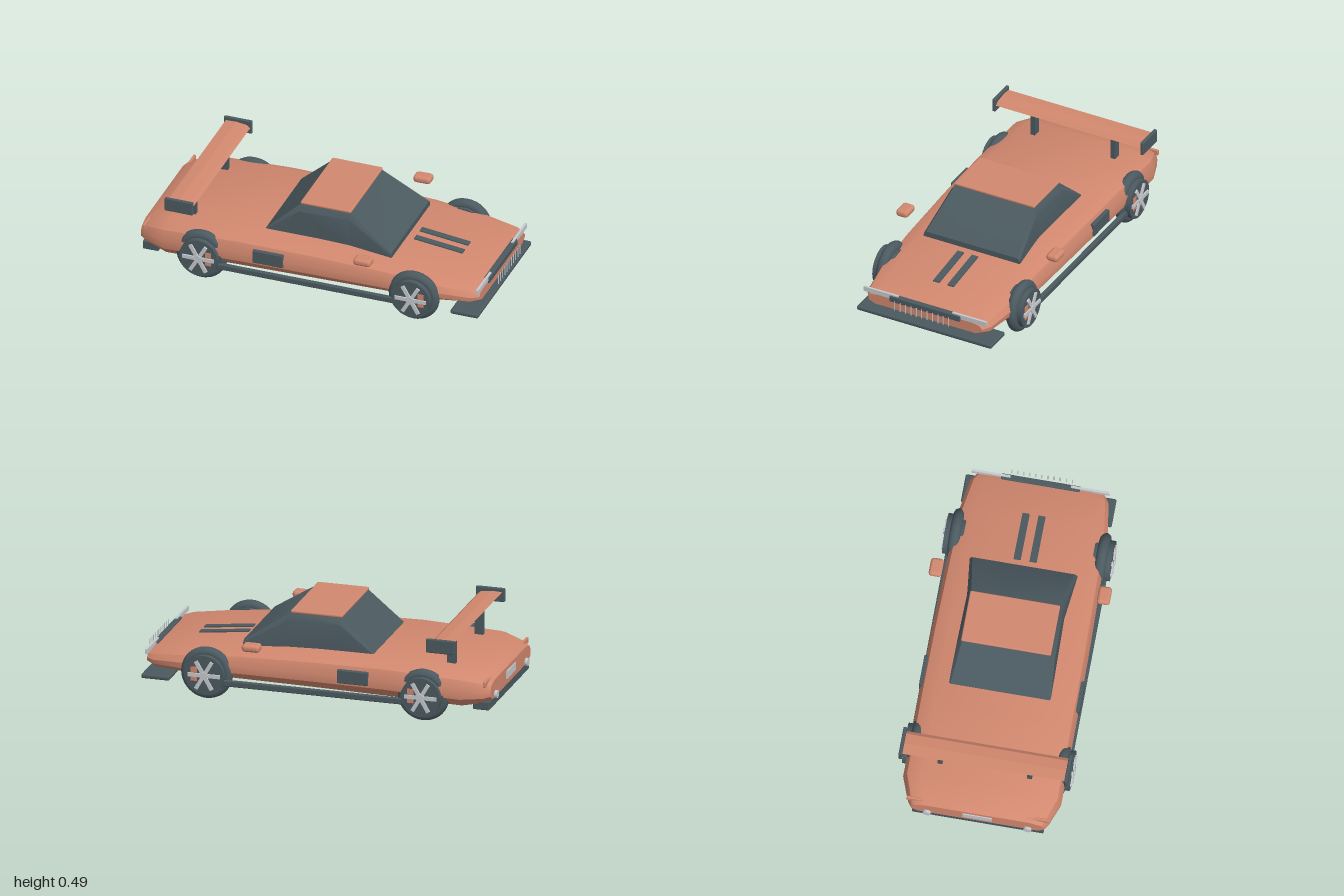
import * as THREE from 'three';
import { RoundedBoxGeometry } from 'three/addons/geometries/RoundedBoxGeometry.js';
import { toCreasedNormals } from 'three/addons/utils/BufferGeometryUtils.js';

const paint = new THREE.MeshStandardMaterial({ color: 0xd2886f });
paint.name = 'copper paint';
const dark = new THREE.MeshStandardMaterial({ color: 0x4b5a60 });
dark.name = 'dark slate';
const metal = new THREE.MeshStandardMaterial({ color: 0xc6cace });
metal.name = 'bright metal';

function add(parent, name, geometry, material, x = 0, y = 0, z = 0) {
  const mesh = new THREE.Mesh(geometry, material);
  mesh.name = name;
  mesh.position.set(x, y, z);
  parent.add(mesh);
  return mesh;
}

// Box given by its ranges along each axis
function block(parent, name, material, [x0, x1], [y0, y1], [z0, z1], round = 0) {
  const size = [x1 - x0, y1 - y0, z1 - z0];
  const g = round ? new RoundedBoxGeometry(...size, 3, round) : new THREE.BoxGeometry(...size);
  return add(parent, name, g, material, (x0 + x1) / 2, (y0 + y1) / 2, (z0 + z1) / 2);
}

// Softly creased skin over mirrored cross-sections; each half runs from top to bottom as [z, y]
function loft(sections) {
  const rings = sections.map(({ x, half }) => [
    ...half.map(([z, y]) => [x, y, z]),
    ...half.slice().reverse().map(([z, y]) => [x, y, -z]),
  ]);
  const n = rings[0].length, pos = [];
  const tri = (a, b, c) => pos.push(...a, ...b, ...c);
  for (let s = 0; s < rings.length - 1; s++) {
    const a = rings[s], b = rings[s + 1];
    for (let i = 0; i < n; i++) {
      const j = (i + 1) % n;
      tri(a[i], a[j], b[j]);
      tri(a[i], b[j], b[i]);
    }
  }
  const rear = rings[0], front = rings[rings.length - 1];
  for (let i = 1; i < n - 1; i++) {
    tri(rear[0], rear[i + 1], rear[i]);
    tri(front[0], front[i], front[i + 1]);
  }
  const g = new THREE.BufferGeometry();
  g.setAttribute('position', new THREE.Float32BufferAttribute(pos, 3));
  return toCreasedNormals(g, 0.6);
}

function makeBody() {
  // x, half width, bottom, top
  const stations = [
    [-0.985, 0.365, 0.132, 0.23], [-0.95, 0.388, 0.115, 0.252], [-0.83, 0.433, 0.1, 0.285],
    [-0.4, 0.433, 0.112, 0.303], [0, 0.43, 0.118, 0.298], [0.43, 0.42, 0.12, 0.28],
    [0.72, 0.408, 0.122, 0.247], [0.91, 0.378, 0.13, 0.22], [0.955, 0.348, 0.142, 0.207],
  ];
  return loft(stations.map(([x, w, b, t]) => {
    const h = t - b;
    return { x, half: [[w * 0.77, t], [w * 0.95, b + h * 0.82], [w, b + h * 0.52], [w * 0.99, b + h * 0.25], [w * 0.89, b]] };
  }));
}

function makeCabin() {
  const section = (x, base, shoulder, sy, top, ty) =>
    ({ x, half: [[top, ty], [shoulder, sy], [base, 0.28], [base, 0.24]] });
  return loft([
    section(-0.3, 0.28, 0.278, 0.296, 0.27, 0.303),
    section(-0.11, 0.275, 0.268, 0.442, 0.24, 0.478),
    section(0.175, 0.268, 0.262, 0.445, 0.24, 0.478),
    section(0.43, 0.295, 0.292, 0.3, 0.28, 0.312),
  ]);
}

function makeWheel(name, x, side) {
  const wheel = new THREE.Group();
  wheel.name = name;
  wheel.position.set(x, 0.146, 0.4 * side);
  if (side < 0) wheel.scale.z = -1;
  add(wheel, 'tyre', new THREE.TorusGeometry(0.115, 0.03, 16, 40), dark);
  add(wheel, 'wheelDrum', new THREE.CylinderGeometry(0.11, 0.11, 0.104, 36).rotateX(Math.PI / 2), dark, 0, 0, 0.005);
  block(wheel, 'brakeCaliper', paint, [0.04, 0.074], [-0.035, 0.045], [0.03, 0.06]);
  for (let i = 0; i < 6; i++) {
    const g = new THREE.BoxGeometry(0.09, 0.021, 0.01).translate(0.045, 0, 0).rotateZ(i * Math.PI / 3);
    add(wheel, 'spoke', g, metal, 0, 0, 0.061);
  }
  add(wheel, 'hub', new THREE.CylinderGeometry(0.022, 0.022, 0.016, 20).rotateX(Math.PI / 2), metal, 0, 0, 0.063);
  return wheel;
}

export function createModel() {
  const car = new THREE.Group();
  car.name = 'sportsCar';

  add(car, 'body', makeBody(), paint);
  add(car, 'cabin', makeCabin(), dark);
  block(car, 'roofPanel', paint, [-0.113, 0.178], [0.475, 0.492], [-0.246, 0.246], 0.007);

  // Lower aero parts
  block(car, 'frontSplitter', dark, [0.81, 0.97], [0.076, 0.102], [-0.412, 0.412], 0.01);
  block(car, 'rearDiffuser', dark, [-0.977, -0.885], [0.076, 0.125], [-0.36, 0.36], 0.006);

  // Rear wing with a wedge-shaped section
  const profile = new THREE.Shape([
    [-0.8, 0.466], [-0.78, 0.444], [-0.73, 0.422], [-0.66, 0.444], [-0.68, 0.46], [-0.74, 0.468],
  ].map(([x, y]) => new THREE.Vector2(x, y)));
  const wing = new THREE.ExtrudeGeometry(profile, { depth: 0.89, bevelEnabled: false });
  add(car, 'wing', wing, paint, 0, 0, -0.445);

  // Grille and its upright bars
  block(car, 'grille', dark, [0.932, 0.964], [0.188, 0.224], [-0.216, 0.216], 0.006);
  for (let i = -5; i <= 5; i++) {
    add(car, 'grilleBar', new THREE.CylinderGeometry(0.003, 0.003, 0.054, 8), metal, 0.995, 0.192, i * 0.033);
  }
  block(car, 'rearPlate', metal, [-0.991, -0.983], [0.165, 0.208], [-0.08, 0.08]);

  // Mirrored parts
  for (const s of [1, -1]) {
    const zr = (a, b) => (s > 0 ? [a, b] : [-b, -a]);
    const label = s > 0 ? 'left' : 'right';
    car.add(makeWheel(label + 'FrontWheel', 0.6, s), makeWheel(label + 'RearWheel', -0.62, s));
    block(car, 'sideSkirt', dark, [-0.56, 0.54], [0.088, 0.122], zr(0.415, 0.44), 0.006);
    block(car, 'sideVent', dark, [-0.317, -0.142], [0.173, 0.248], zr(0.41, 0.439), 0.004);
    block(car, 'mirror', paint, [0.28, 0.38], [0.314, 0.356], zr(0.424, 0.495), 0.018);
    block(car, 'wingEndPlate', dark, [-0.813, -0.651], [0.408, 0.486], zr(0.443, 0.462), 0.006);
    block(car, 'wingSupport', dark, [-0.757, -0.709], [0.27, 0.43], zr(0.232, 0.258));
    block(car, 'headlight', metal, [0.944, 0.957], [0.204, 0.231], zr(0.165, 0.376));
    block(car, 'tailLight', paint, [-0.965, -0.95], [0.214, 0.246], zr(0.27, 0.39), 0.004);
    add(car, 'exhaust', new THREE.CylinderGeometry(0.022, 0.022, 0.05, 20).rotateZ(Math.PI / 2), metal, -0.975, 0.145, 0.275 * s);
    const hoodVent = block(car, 'hoodVent', dark, [0.47, 0.75], [0.246, 0.266], zr(0.024, 0.063));
    hoodVent.rotation.z = -0.115;
  }
  return car;
}
